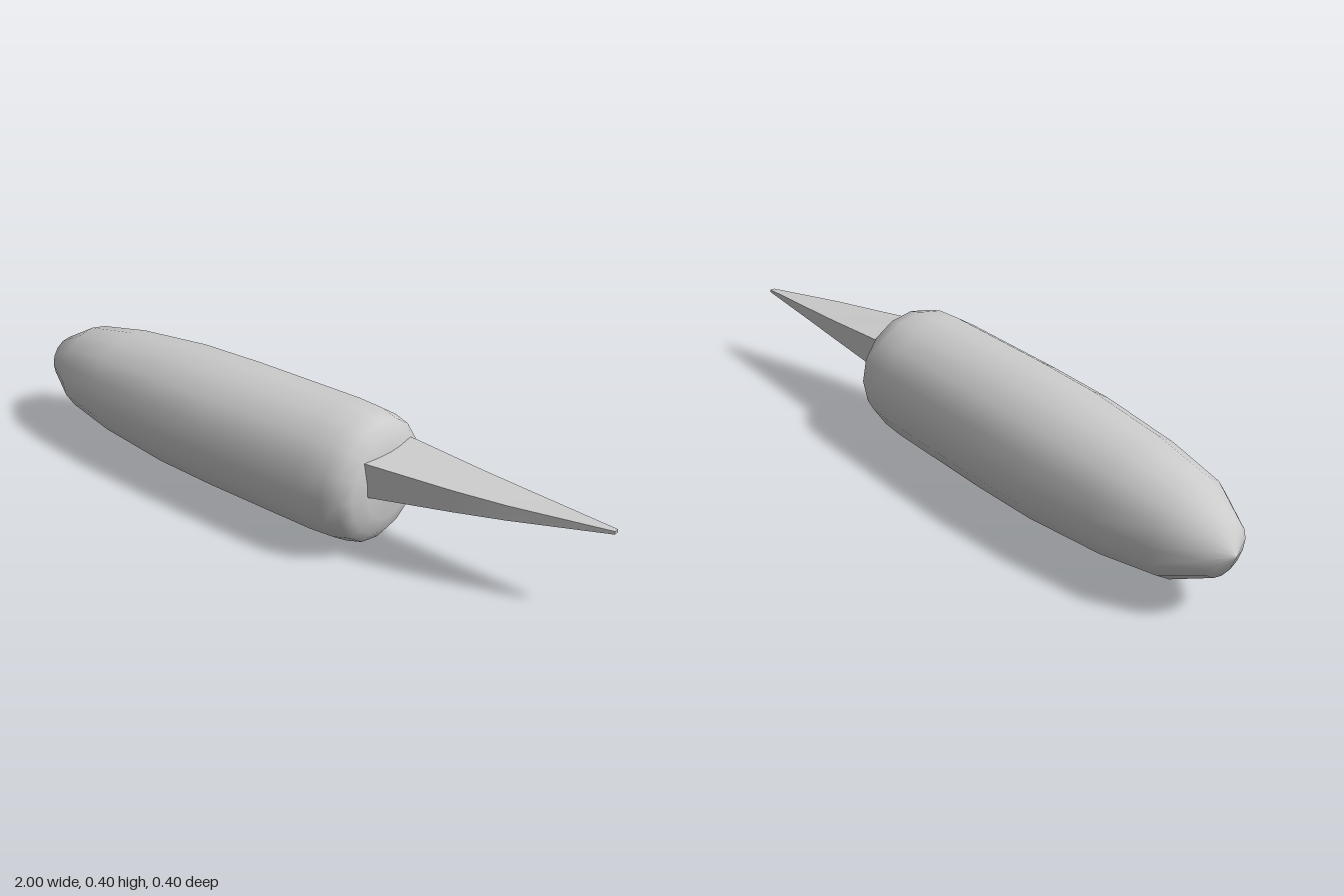
import * as THREE from 'three';

const CENTRE_Y = 0.2;

// Rounded hull: [x, radius] profile turned about the long axis
function makeBody(material) {
  const profile = [
    [-1, 0], [-0.96, 0.075], [-0.84, 0.14], [-0.66, 0.172], [-0.4, 0.195],
    [-0.18, 0.2], [0.2, 0.2], [0.28, 0.195], [0.33, 0.181], [0.355, 0.15],
    [0.37, 0.1], [0.38, 0],
  ].map(([x, r]) => new THREE.Vector2(r, x));
  const geometry = new THREE.LatheGeometry(profile, 16);
  geometry.rotateZ(-Math.PI / 2);
  geometry.translate(0, CENTRE_Y, 0);
  const mesh = new THREE.Mesh(geometry, material);
  mesh.name = 'body';
  return mesh;
}

// Tapered tail spike: a box whose stations shrink towards the tip,
// with a straight back edge and a swept front edge
function makeTail(material) {
  const stations = [ // x, bottom, top, front z
    [0.34, 0.202, 0.303, 0.105],
    [0.37, 0.203, 0.303, 0.1],
    [0.6, 0.22, 0.284, 0.04],
    [0.74, 0.231, 0.275, 0],
    [1, 0.25, 0.259, -0.092],
  ];
  const backZ = -0.107;
  const last = stations.length - 1;
  const geometry = new THREE.BoxGeometry(1, 1, 1, last, 1, 1);
  const p = geometry.attributes.position;
  for (let i = 0; i < p.count; i++) {
    const [x, bottom, top, front] = stations[Math.round((p.getX(i) + 0.5) * last)];
    p.setXYZ(i, x, p.getY(i) > 0 ? top : bottom, p.getZ(i) > 0 ? front : backZ);
  }
  geometry.computeVertexNormals();
  const mesh = new THREE.Mesh(geometry, material);
  mesh.name = 'tailSpike';
  return mesh;
}

export function createModel() {
  const material = new THREE.MeshStandardMaterial({ color: 0xcccccc });
  const group = new THREE.Group();
  group.name = 'model';
  group.add(makeBody(material), makeTail(material));
  return group;
}
